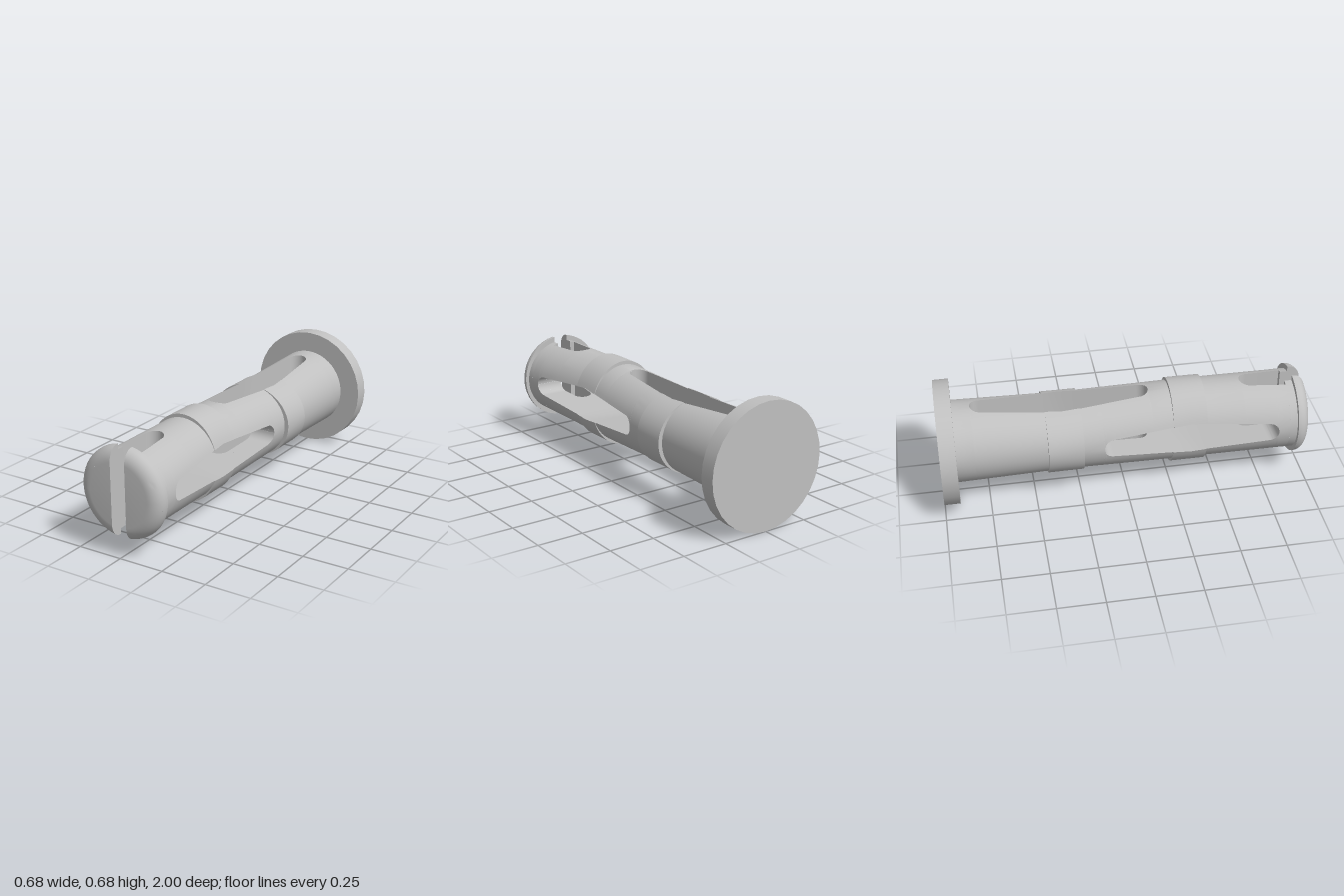
import * as THREE from 'three';
import { toCreasedNormals } from 'three/addons/utils/BufferGeometryUtils.js';

const CENTRE_Y = 0.34, EPS = 1e-6, ARC = 12;
const lerp = THREE.MathUtils.lerp;

// Piecewise linear profile through [z, value] points
function profile(points, z) {
  for (let i = 1; i < points.length; i++) {
    const [z0, v0] = points[i - 1], [z1, v1] = points[i];
    if (z <= z1) return lerp(v0, v1, Math.max(0, (z - z0) / (z1 - z0)));
  }
  return points[points.length - 1][1];
}

// Half-width of a long diamond slot with rounded ends
const SLOT_END = 0.055, SLOT_MID = 0.092, SLOT_HALF = 0.48;
function diamondSlot(z, mid) {
  const d = SLOT_HALF - Math.abs(z - mid);
  if (d <= 0) return 0;
  if (d < SLOT_END) return Math.sqrt(SLOT_END ** 2 - (SLOT_END - d) ** 2);
  return lerp(SLOT_END, SLOT_MID, (d - SLOT_END) / (SLOT_HALF - SLOT_END));
}

// Half-width of the open slot that splits the tip
const TIP_SLOT = 0.645, TIP_STEP = 0.89;
function tipSlot(z) {
  const d = z - TIP_SLOT;
  if (d <= 0) return 0;
  if (z > TIP_STEP) return 0.043;
  if (d < SLOT_END) return Math.sqrt(SLOT_END ** 2 - (SLOT_END - d) ** 2);
  return lerp(SLOT_END, 0.07, (z - TIP_SLOT - SLOT_END) / (TIP_STEP - TIP_SLOT - SLOT_END));
}

const REAR = -0.915, HEAD = 0.93, TIP = 1;
const REAR_BAND = [-0.43, -0.24], FRONT_BAND = [0.25, 0.435];
const REAR_MID = -0.34, FRONT_MID = 0.35;
const WIDTH = [[REAR, 0.221], [-0.24, 0.22], [0.25, 0.207], [0.435, 0.206], [0.8, 0.221], [HEAD, 0.225]];
const HEIGHT = [[REAR, 0.224], [-0.43, 0.208], [-0.24, 0.207], [0.25, 0.223], [0.435, 0.224], [0.83, 0.215], [HEAD, 0.215]];
const inside = (z, [a, b]) => z > a && z < b;

// Cross-section: radii rx, ry and the half-widths of the upright (a) and sideways (b) slots
function section(z, side) {
  const s = z + side * EPS;
  let rx = profile(WIDTH, s), ry = profile(HEIGHT, s);
  if (inside(s, REAR_BAND)) rx = 0.243;
  if (inside(s, FRONT_BAND)) ry = 0.243;
  if (s > HEAD) {
    const u = Math.min(1, Math.max(0, (s - HEAD - 0.008) / (TIP - HEAD - 0.008)));
    rx = ry = 0.17 + 0.075 * Math.sqrt(1 - u * u);
  }
  const a = Math.max(diamondSlot(s, REAR_MID), tipSlot(s)), b = diamondSlot(s, FRONT_MID);
  // One quarter: corner, arc, corner
  const t0 = Math.asin(b / ry), t1 = Math.acos(a / rx), loop = [[a, b]];
  for (let i = 0; i <= ARC; i++) {
    const t = lerp(t0, t1, i / ARC);
    loop.push([rx * Math.cos(t), ry * Math.sin(t)]);
  }
  loop.push([a, b]);
  return { z, rx, ry, a, b, loop };
}

// All stations along the axis, denser on the rounded slot ends and the domed head
const stations = [REAR, ...REAR_BAND, ...FRONT_BAND, REAR_MID, FRONT_MID, 0.8, 0.83, TIP_STEP, HEAD, HEAD + 0.008];
for (let k = 0; k <= 8; k++) {
  const c = Math.cos(k * Math.PI / 16), d = SLOT_END * (1 - c);
  for (const mid of [REAR_MID, FRONT_MID]) stations.push(mid - SLOT_HALF + d, mid + SLOT_HALF - d);
  stations.push(TIP_SLOT + d);
  stations.push(HEAD + 0.008 + (TIP - HEAD - 0.008) * Math.sin(k * Math.PI / 16));
}
stations.sort((p, q) => p - q);

// Loft four mirrored quarters between z0 and z1; steps close changes of section at the ends
function loft(z0, z1, { startStep = false, endStep = false, cap = false } = {}) {
  const zs = stations.filter((z, i) => z >= z0 - 1e-9 && z <= z1 + 1e-9 && (i === 0 || z - stations[i - 1] > 1e-7));
  const list = [];
  if (startStep) list.push(section(zs[0], -1));
  for (let i = 0; i + 1 < zs.length; i++) list.push(section(zs[i], 1), section(zs[i + 1], -1));
  if (endStep) list.push(section(zs[zs.length - 1], 1));

  const pos = [];
  const A = new THREE.Vector3(), B = new THREE.Vector3();
  for (const [sx, sy] of [[1, 1], [-1, 1], [-1, -1], [1, -1]]) {
    const tri = (p, q, r) => {
      A.subVectors(q, p); B.subVectors(r, p);
      if (A.cross(B).length() < 1e-9) return;
      for (const v of sx * sy > 0 ? [p, q, r] : [p, r, q]) pos.push(sx * v.x, CENTRE_Y + sy * v.y, v.z);
    };
    const point = (s, i) => new THREE.Vector3(s.loop[i][0], s.loop[i][1], s.z);
    for (let k = 0; k + 1 < list.length; k++) {
      const s = list[k], t = list[k + 1], flat = s.z === t.z;
      const radiusStep = Math.abs(s.rx - t.rx) + Math.abs(s.ry - t.ry) > 1e-3;
      const slotStep = Math.abs(s.a - t.a) + Math.abs(s.b - t.b) > 1e-3;
      if (flat && !radiusStep && !slotStep) continue;
      for (let i = 0; i <= ARC + 1; i++) {
        const lower = i === 0, upper = i === ARC + 1;
        if (lower && Math.max(s.b, t.b) < 2e-3) continue;
        if (upper && Math.max(s.a, t.a) < 2e-3) continue;
        if (flat && (lower || upper ? !slotStep : !radiusStep)) continue;
        const p = point(s, i), q = point(s, i + 1), r = point(t, i + 1), o = point(t, i);
        tri(p, q, r);
        tri(p, r, o);
      }
    }
    if (cap) {
      const s = list[list.length - 1];
      for (let i = 1; i <= ARC; i++) tri(point(s, 0), point(s, i), point(s, i + 1));
    }
  }
  const geometry = new THREE.BufferGeometry();
  geometry.setAttribute('position', new THREE.Float32BufferAttribute(pos, 3));
  return toCreasedNormals(geometry, 0.6);
}

export function createModel() {
  const model = new THREE.Group();
  model.name = 'slottedPlug';
  const grey = new THREE.MeshStandardMaterial({ color: 0xc0c0c0 });
  grey.name = 'plainGrey';
  const add = (name, geometry) => {
    const mesh = new THREE.Mesh(geometry, grey);
    mesh.name = name;
    model.add(mesh);
    return mesh;
  };

  // Round flange at the back
  const flange = add('flange', new THREE.CylinderGeometry(0.338, 0.338, 0.085, 32).rotateX(Math.PI / 2));
  flange.position.set(0, CENTRE_Y, -0.9575);

  // Slotted shaft with two raised bands, and the split head
  const bothSteps = { startStep: true, endStep: true };
  add('rearShaft', loft(REAR, REAR_BAND[0]));
  add('rearBand', loft(...REAR_BAND, bothSteps));
  add('middleShaft', loft(REAR_BAND[1], FRONT_BAND[0]));
  add('frontBand', loft(...FRONT_BAND, bothSteps));
  add('frontShaft', loft(FRONT_BAND[1], HEAD));
  add('splitHead', loft(HEAD, TIP, { startStep: true, cap: true }));
  return model;
}
